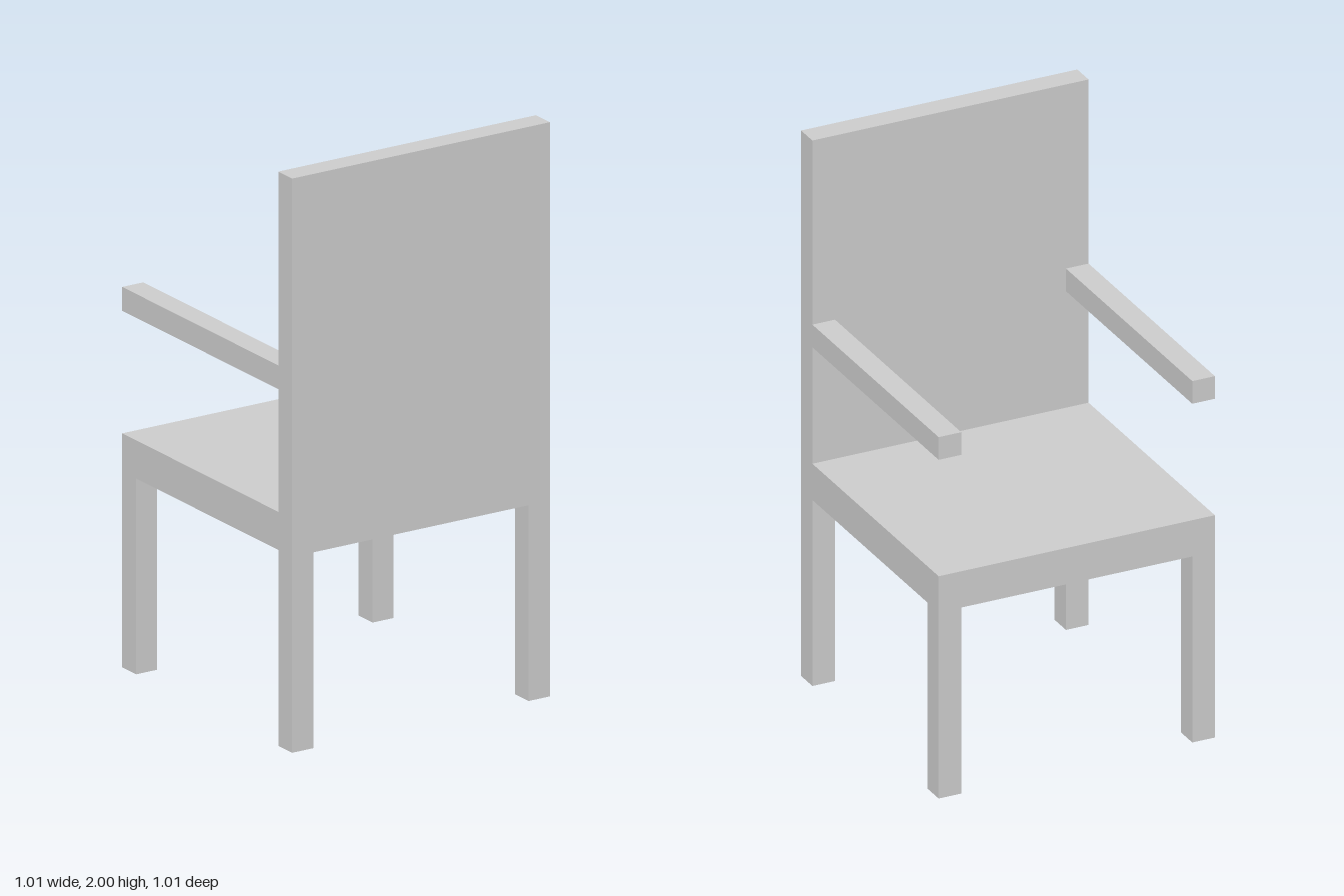
import * as THREE from 'three';

const HALF = 0.507;      // half of the square footprint
const POST = 0.083;      // thickness of legs, armrests and backrest
const SEAT_BOTTOM = 0.682;
const SEAT_TOP = 0.815;
const ARM_BOTTOM = 1.242;
const ARM_TOP = 1.325;
const TOP = 2;

export function createModel() {
  const chair = new THREE.Group();
  chair.name = 'armchair';
  const material = new THREE.MeshStandardMaterial({ color: 0xcccccc, flatShading: true });

  // Adds a box spanning the given ranges on each axis
  function addBox(name, [x0, x1], [y0, y1], [z0, z1]) {
    const mesh = new THREE.Mesh(new THREE.BoxGeometry(x1 - x0, y1 - y0, z1 - z0), material);
    mesh.position.set((x0 + x1) / 2, (y0 + y1) / 2, (z0 + z1) / 2);
    mesh.name = name;
    chair.add(mesh);
  }

  const inner = HALF - POST;

  // Seat slab, butting against the backrest
  addBox('seat', [-HALF, HALF], [SEAT_BOTTOM, SEAT_TOP], [-HALF, inner]);

  // Tall backrest panel on the +z side
  addBox('backrest', [-HALF, HALF], [SEAT_BOTTOM, TOP], [inner, HALF]);

  // Legs and armrests, mirrored left and right
  for (const [side, xRange] of [['left', [inner, HALF]], ['right', [-HALF, -inner]]]) {
    addBox(`${side}BackrestLeg`, xRange, [0, SEAT_BOTTOM], [inner, HALF]);
    addBox(`${side}SeatEdgeLeg`, xRange, [0, SEAT_BOTTOM], [-HALF, -inner]);
    addBox(`${side}Armrest`, xRange, [ARM_BOTTOM, ARM_TOP], [-HALF, inner]);
  }

  return chair;
}
